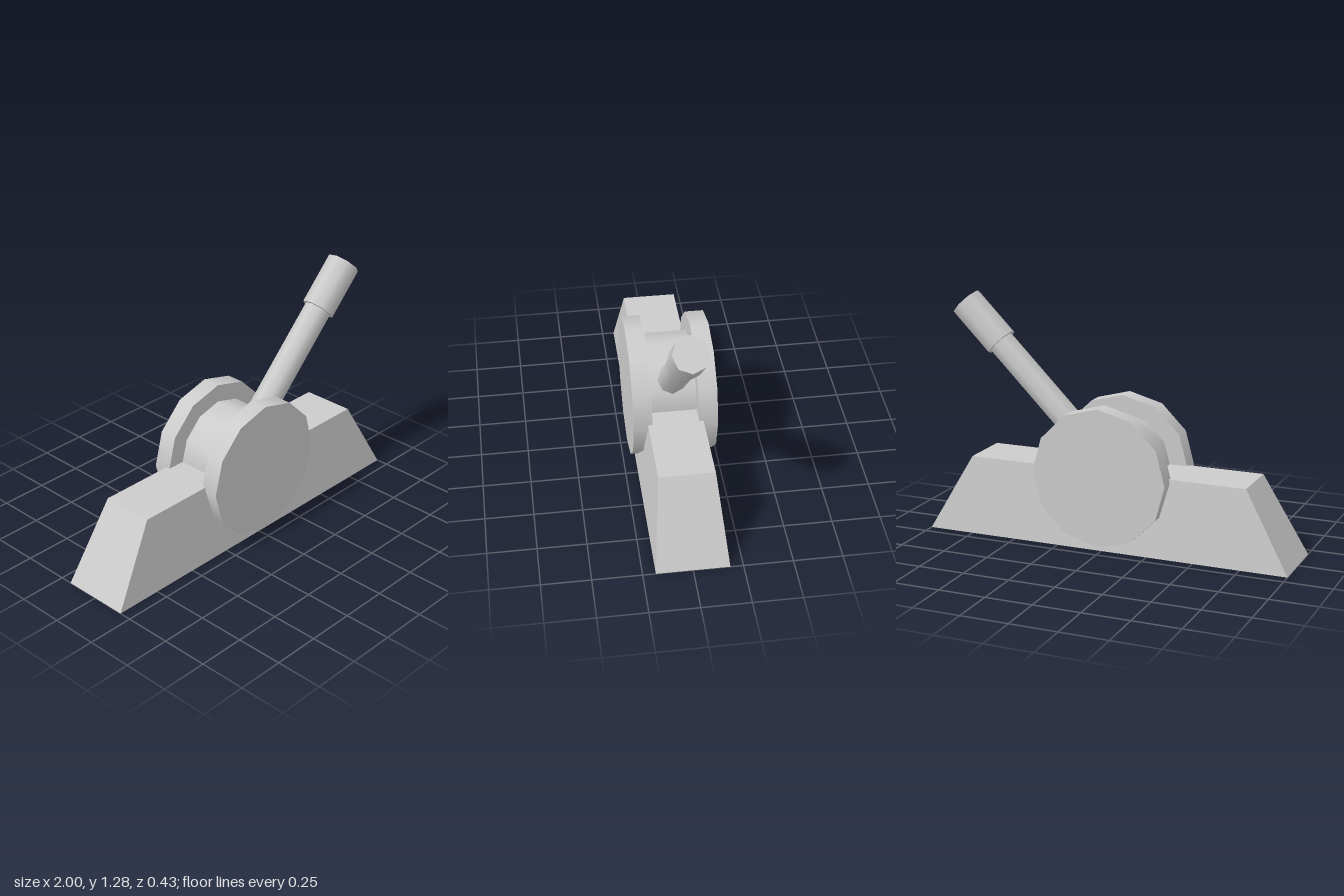
import * as THREE from 'three';

export function createModel() {
  const group = new THREE.Group();
  const material = new THREE.MeshStandardMaterial({ color: 0xcccccc });
  const add = (name, geometry, parent = group) => {
    const mesh = new THREE.Mesh(geometry, material);
    mesh.name = name;
    parent.add(mesh);
    return mesh;
  };

  // Base: a box whose top tapers inwards on all four sides
  const height = 0.415;
  const base = new THREE.BoxGeometry(2, height, 0.37).translate(0, height / 2, 0);
  const pos = base.attributes.position;
  for (let i = 0; i < pos.count; i++) {
    if (pos.getY(i) > 0.1) {
      pos.setX(i, pos.getX(i) * 0.763);
      pos.setZ(i, pos.getZ(i) * 0.767);
    }
  }
  base.computeVertexNormals();
  add('base', base);

  // Pivot: a hub between two larger twelve-sided discs
  const wheel = (name, radius, depth, z) => {
    const geometry = new THREE.CylinderGeometry(radius, radius, depth, 12).rotateX(Math.PI / 2);
    add(name, geometry).position.set(0.006, 0.396, z);
  };
  wheel('hub', 0.27, 0.25, 0);
  wheel('frontDisc', 0.366, 0.097, 0.168);
  wheel('backDisc', 0.366, 0.097, -0.168);

  // Lever: an eight-sided shaft with a thicker grip, leaning to +x
  const lever = new THREE.Group();
  lever.name = 'lever';
  lever.position.set(0.006, 0.372, 0);
  lever.rotation.z = -Math.PI / 4;
  group.add(lever);
  const rod = (name, radius, from, to) => {
    const geometry = new THREE.CylinderGeometry(radius, radius, to - from, 8);
    add(name, geometry, lever).position.y = (from + to) / 2;
  };
  rod('shaft', 0.073, 0.1, 0.95);
  rod('grip', 0.09, 0.91, 1.196);

  return group;
}
